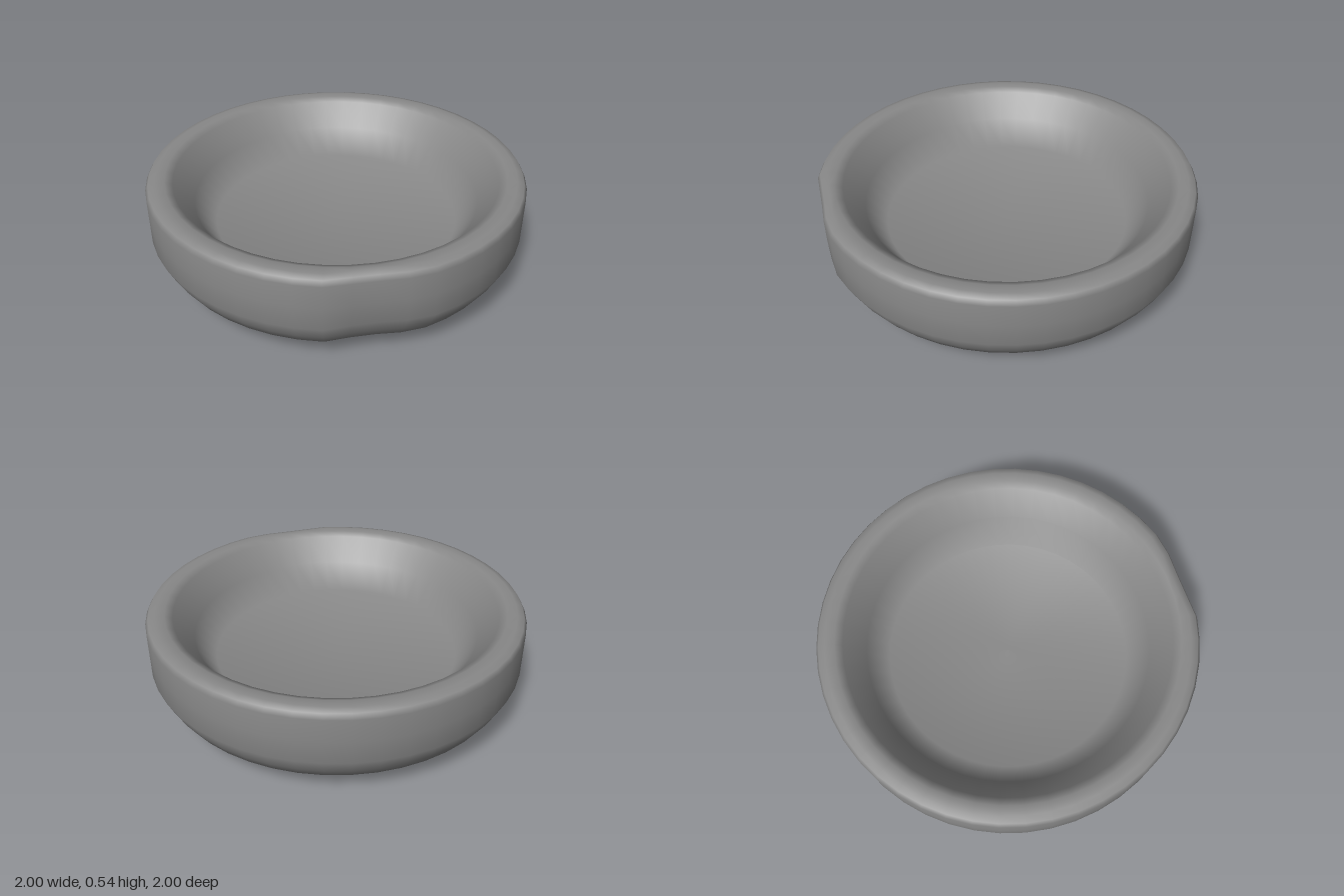
import * as THREE from 'three';
import { mergeVertices } from 'three/addons/utils/BufferGeometryUtils.js';

// Flattened patch: 1 at the centre angle, falling to 0 at the half width (radians)
function patch(angle, centre, halfWidth) {
  return Math.max(0, 1 - ((angle - centre) / halfWidth) ** 2);
}

export function createModel() {
  const group = new THREE.Group();
  group.name = 'bowl';

  // Cross-section from the underside centre, over the rim, to the floor centre
  const profile = [
    [0, 0], [0.71, 0.01], [0.82, 0.07], [0.93, 0.13], [0.965, 0.185], [1, 0.26],
    [1, 0.38], [1, 0.5], [0.985, 0.525], [0.95, 0.535], [0.9, 0.533], [0.86, 0.515],
    [0.76, 0.38], [0.655, 0.24], [0, 0.235],
  ].map(([r, y]) => new THREE.Vector2(r, y));

  let geometry = new THREE.LatheGeometry(profile, 48);
  geometry.deleteAttribute('uv');
  geometry.deleteAttribute('normal');
  geometry = mergeVertices(geometry, 1e-4);

  // One hand-pressed dent in the outer wall, deeper towards the foot
  const pos = geometry.attributes.position;
  for (let i = 0; i < pos.count; i++) {
    const x = pos.getX(i), y = pos.getY(i), z = pos.getZ(i);
    if (Math.hypot(x, z) < 0.92) continue;
    const depth = y < 0.3 ? 0.038 : 0.027;
    const scale = 1 - depth * patch(Math.atan2(x, z), -0.43, 0.22);
    pos.setX(i, x * scale);
    pos.setZ(i, z * scale);
  }
  geometry.computeVertexNormals();

  const dish = new THREE.Mesh(geometry, new THREE.MeshStandardMaterial({ color: 0x888888 }));
  dish.name = 'dish';
  group.add(dish);
  return group;
}
